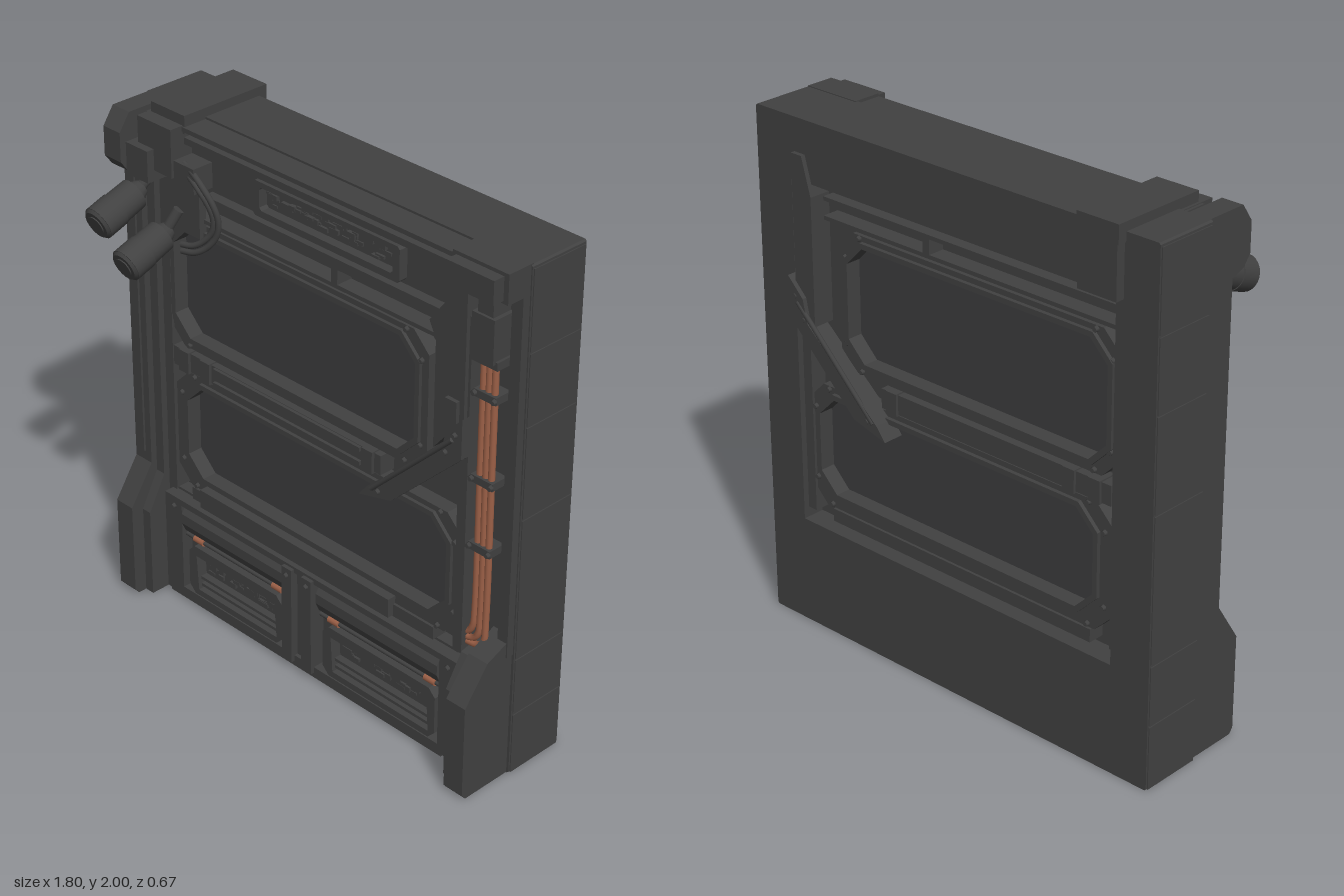
import * as THREE from 'three';

export function createModel() {
  const root = new THREE.Group();
  root.name = 'industrialDoorPanel';
  const mat = (name, color) => {
    const m = new THREE.MeshStandardMaterial({ color });
    m.name = name;
    return m;
  };
  const metal = mat('darkMetal', 0x414141);
  const glass = mat('smokedGlass', 0x3d3d3f);
  const copper = mat('copper', 0x9c6047);

  const add = (name, geo, m = metal) => {
    const mesh = new THREE.Mesh(geo, m);
    mesh.name = name;
    root.add(mesh);
    return mesh;
  };
  const box = (name, x0, x1, y0, y1, z0, z1, m) =>
    add(name, new THREE.BoxGeometry(x1 - x0, y1 - y0, z1 - z0)
      .translate((x0 + x1) / 2, (y0 + y1) / 2, (z0 + z1) / 2), m);
  const toShape = pts => new THREE.Shape(pts.map(p => new THREE.Vector2(p[0], p[1])));
  // Outline in x,y with optional hole, running from z0 to z1
  const plate = (name, pts, z0, z1, hole, m) => {
    const s = toShape(pts);
    if (hole) s.holes.push(toShape(hole));
    return add(name, new THREE.ExtrudeGeometry(s, { depth: z1 - z0, bevelEnabled: false }).translate(0, 0, z0), m);
  };
  // Outline in z,y running from x0 to x1
  const profile = (name, pts, x0, x1, m) =>
    add(name, new THREE.ExtrudeGeometry(toShape(pts), { depth: x1 - x0, bevelEnabled: false })
      .rotateY(-Math.PI / 2).translate(x1, 0, 0), m);
  // Rectangle with cut corners
  const oct = (x0, x1, y0, y1, c) => [[x0 + c, y0], [x1 - c, y0], [x1, y0 + c], [x1, y1 - c],
    [x1 - c, y1], [x0 + c, y1], [x0, y1 - c], [x0, y0 + c]];
  const rod = (name, a, b, r0, r1 = r0, seg = 20, m) => {
    const p = new THREE.Vector3(...a), q = new THREE.Vector3(...b), d = q.clone().sub(p);
    const mesh = add(name, new THREE.CylinderGeometry(r1, r0, d.length(), seg), m);
    mesh.position.copy(p).add(q).multiplyScalar(0.5);
    mesh.quaternion.setFromUnitVectors(new THREE.Vector3(0, 1, 0), d.normalize());
    return mesh;
  };
  const tube = (name, pts, r, m) => add(name, new THREE.TubeGeometry(
    new THREE.CatmullRomCurve3(pts.map(p => new THREE.Vector3(...p)), false, 'centripetal'), 48, r, 10), m);
  const bolt = (x, y, z, dir = 1) => rod('bolt', [x, y, z], [x, y, z + 0.012 * dir], 0.012, 0.009, 6);

  // Thick outer frame, open in the middle, and the door core inside it
  plate('outerFrame', oct(-0.895, 0.895, 0, 1.965, 0.006), -0.298, -0.05,
    [[-0.73, 0.42], [0.73, 0.42], [0.73, 1.74], [-0.73, 1.74]]);
  box('doorCore', -0.73, 0.73, 0.42, 1.74, -0.21, -0.035);
  // Side cladding with seams
  const seams = [0, 0.25, 0.48, 1.035, 1.385, 1.655, 1.955];
  for (let i = 0; i < seams.length - 1; i++) for (const s of [-1, 1]) {
    const x = s * 0.895;
    box('sideCladding', x - 0.004, x + 0.004, seams[i] + 0.004, seams[i + 1] - 0.004, -0.292, -0.056);
  }

  // Windows: pane, inner lip and outer surround, on both faces
  const windows = [
    { o: [-0.72, 0.54, 1.08, 1.6], p: [-0.68, 0.49, 1.13, 1.56] },
    { o: [-0.7, 0.71, 0.5, 0.98], p: [-0.63, 0.65, 0.565, 0.94] },
  ];
  for (const { o, p } of windows) {
    const rim = oct(p[0] - 0.02, p[1] + 0.02, p[2] - 0.02, p[3] + 0.02, 0.085);
    const inner = oct(...p, 0.075);
    plate('paneFront', rim, -0.034, -0.026, null, glass);
    plate('paneBack', rim, -0.22, -0.212, null, glass);
    plate('windowSurroundFront', oct(...o, 0.07), -0.035, 0.02, inner);
    plate('windowLipFront', rim, 0.02, 0.033, inner);
    plate('windowSurroundBack', oct(...o, 0.07), -0.265, -0.21, inner);
    plate('windowLipBack', rim, -0.28, -0.265, inner);
    for (const x of [o[0] + 0.1, o[0] + 0.03, o[1] - 0.1, o[1] - 0.03]) {
      const edge = Math.abs(x - o[0]) < 0.05 || Math.abs(x - o[1]) < 0.05;
      for (const y of [o[2] + (edge ? 0.1 : 0.012), o[3] - (edge ? 0.1 : 0.012)]) {
        bolt(x, y, 0.02);
        bolt(x, y, -0.265, -1);
      }
    }
  }

  // Door rails and stiles
  for (const [z0, z1] of [[-0.035, 0.03], [-0.275, -0.21]]) {
    box('middleRail', -0.7, 0.34, 0.99, 1.065, z0, z1);
    box('upperRail', -0.72, 0.6, 1.615, 1.63, z0, z1);
    box('upperRail', -0.72, 0.6, 1.685, 1.7, z0, z1);
    box('lowerRail', -0.62, 0.6, 0.45, 0.5, z0, z1);
    box('rightStile', 0.69, 0.73, 0.46, 1.75, z0, z1);
    box('leftStile', -0.74, -0.705, 0.46, 1.75, z0, z1);
    box('railDivider', 0.1, 0.13, 1.63, 1.685, z0, z1);
    for (const x of [-0.66, -0.55, 0.26]) box('railBlock', x, x + 0.05, 0.985, 1.07, z0 - 0.01, z1 + 0.012);
  }
  for (const y of [1.0, 1.055]) box('railBead', -0.48, 0.25, y - 0.008, y + 0.008, 0.03, 0.042);
  box('sillRoll', -0.55, 0.41, 0.455, 0.53, 0.02, 0.055);

  // Diagonal brace and slanted upper plate, front and back
  const brace = [[0.27, 0.9], [0.42, 0.94], [0.73, 1.24], [0.73, 1.39], [0.66, 1.32], [0.64, 1.23], [0.31, 0.95]];
  const upright = [[0.59, 1.22], [0.72, 1.38], [0.72, 1.84], [0.68, 1.84], [0.56, 1.68], [0.59, 1.62]];
  plate('braceFront', brace, 0.02, 0.062);
  plate('uprightFront', upright, -0.03, 0.045);
  plate('braceBack', brace, -0.332, -0.25);
  plate('uprightBack', [[0.62, 1.22], [0.71, 1.3], [0.71, 1.84], [0.66, 1.84], [0.62, 1.7]], -0.315, -0.23);
  rod('braceRib', [0.33, 0.95, 0.064], [0.69, 1.3, 0.064], 0.009, 0.009, 8);
  rod('braceRib', [0.33, 0.95, -0.328], [0.69, 1.3, -0.328], 0.009, 0.009, 8);
  for (const [x, y] of [[0.36, 0.95], [0.66, 1.24], [0.7, 1.32]]) {
    bolt(x, y, 0.062);
    bolt(x, y, -0.323, -1);
  }
  box('latch', 0.65, 0.7, 1.35, 1.44, 0.045, 0.06);

  // Header with a framed vent
  box('header', -0.74, 0.68, 1.72, 1.93, -0.05, 0.005);
  box('topRail', -0.78, 0.67, 1.94, 1.957, -0.05, 0.05);
  box('topRailLower', -0.7, 0.66, 1.89, 1.915, -0.05, 0.04);
  box('headerLedge', -0.5, 0.6, 1.71, 1.735, 0, 0.045);
  plate('headerVentFrame', oct(-0.26, 0.42, 1.75, 1.88, 0.01), 0.005, 0.04, oct(-0.23, 0.39, 1.775, 1.86, 0.01));
  let seed = 7;
  const rnd = () => (seed = (seed * 16807) % 2147483647) / 2147483647;
  const rubble = (x0, x1, y0, y1, z, n) => {
    for (let i = 0; i < n; i++) {
      const x = x0 + rnd() * (x1 - x0 - 0.05), y = y0 + rnd() * (y1 - y0 - 0.02);
      box('ventCore', x, x + 0.02 + rnd() * 0.03, y, y + 0.008 + rnd() * 0.012, z, z + 0.004 + rnd() * 0.012);
    }
  };
  rubble(-0.22, 0.38, 1.78, 1.855, 0.004, 45);

  // Base: recessed backing, rolls, vents and centre post
  box('baseBacking', -0.72, 0.7, 0.01, 0.45, -0.05, 0.012);
  box('baseSill', -0.72, 0.68, 0.01, 0.055, 0, 0.06);
  box('baseTopRail', -0.7, 0.68, 0.415, 0.44, 0, 0.06);
  for (const x of [-0.1, 0.0]) box('centrePost', x, x + 0.05, 0.03, 0.43, 0, 0.075);
  box('centrePostInset', -0.06, 0.01, 0.03, 0.42, 0, 0.045);
  for (const [x0, x1] of [[-0.65, -0.11], [0.06, 0.65]]) {
    profile('baseRoll', [[0, 0.3], [0.045, 0.305], [0.06, 0.34], [0.06, 0.38], [0.04, 0.412], [0, 0.415]], x0, x1);
    plate('ventFrame', oct(x0 + 0.03, x1 - 0.01, 0.055, 0.265, 0.03), 0.01, 0.055,
      [[x0 + 0.08, 0.08], [x1 - 0.04, 0.08], [x1 - 0.05, 0.225], [x0 + 0.07, 0.225]]);
    for (const y of [0.09, 0.12]) box('ventSlat', x0 + 0.07, x1 - 0.04, y, y + 0.012, 0.012, 0.04);
    rubble(x0 + 0.09, x1 - 0.05, 0.145, 0.215, 0.01, 35);
    rod('baseRod', [x0, 0.285, 0.035], [x1, 0.285, 0.035], 0.008, 0.008, 8);
    for (const x of [x0 + 0.07, x1 - 0.05]) rod('copperSleeve', [x - 0.025, 0.285, 0.035], [x + 0.025, 0.285, 0.035], 0.014, 0.014, 12, copper);
  }
  box('baseSideLeft', -0.74, -0.65, 0.02, 0.44, -0.05, 0.06);
  box('baseSideRight', 0.66, 0.75, 0.02, 0.44, -0.05, 0.06);
  bolt(-0.69, 0.4, 0.06); bolt(0.7, 0.4, 0.06); bolt(-0.075, 0.4, 0.075); bolt(0.025, 0.4, 0.075);

  // Left pillar with flared foot and chamfered head
  profile('leftPillar', [[-0.05, 0], [0.155, 0], [0.172, 0.02], [0.172, 0.385], [0.07, 0.54], [0.07, 1.73],
    [0.125, 1.75], [0.155, 1.79], [0.155, 1.9], [0.11, 1.965], [-0.05, 1.965]], -0.885, -0.8);
  profile('leftPillarStep', [[-0.05, 0], [0.12, 0], [0.12, 0.36], [0.045, 0.5], [0.045, 1.75], [-0.05, 1.75]], -0.8, -0.76);
  box('leftPillarRib', -0.76, -0.72, 0.02, 1.72, -0.05, 0.02);
  box('leftPillarBead', -0.855, -0.83, 0.58, 1.7, 0.07, 0.078);

  // Right pillar, foot, corner block and pipe channel
  profile('rightFoot', [[-0.05, 0], [0.155, 0], [0.172, 0.02], [0.172, 0.385], [0.07, 0.52], [-0.05, 0.57]], 0.8, 0.885);
  profile('rightFootStep', [[-0.05, 0], [0.11, 0], [0.11, 0.36], [0.04, 0.48], [-0.05, 0.5]], 0.74, 0.8);
  box('rightPillar', 0.845, 0.89, 0.5, 1.86, -0.05, -0.02);
  box('cornerBlock', 0.655, 0.89, 1.86, 1.968, -0.06, 0.05);
  box('cornerBlockFace', 0.67, 0.87, 1.87, 1.955, 0.05, 0.095);
  box('pipeManifold', 0.735, 0.83, 1.62, 1.78, -0.05, 0.04);
  box('pipeManifoldNeck', 0.75, 0.815, 1.78, 1.87, -0.05, 0.03);
  box('manifoldLip', 0.725, 0.84, 1.6, 1.63, -0.05, 0.03);

  // Copper pipes curving in at the foot, held by clamps
  [0.758, 0.783, 0.808].forEach((x, i) => tube('copperPipe',
    [[x, 1.61, 0], [x, 1.2, 0], [x, 0.64 - i * 0.01, 0], [x - 0.006, 0.575 - i * 0.022, 0],
      [x - 0.028, 0.54 - i * 0.016, 0], [0.69, 0.535 - i * 0.018, 0]], 0.012, copper));
  for (const y of [1.48, 1.16, 0.9]) {
    box('pipeClamp', 0.735, 0.83, y - 0.014, y + 0.014, -0.05, 0.02);
    bolt(0.74, y, 0.02); bolt(0.825, y, 0.02);
  }

  // Bracket saddling the top edge
  box('topBracket', -0.76, -0.59, 1.93, 1.998, -0.333, 0.045);
  box('topBracketBack', -0.755, -0.595, 1.74, 1.96, -0.333, -0.29);
  box('topBracketFront', -0.77, -0.6, 1.78, 1.96, -0.05, 0.1);
  box('lampMount', -0.8, -0.69, 1.74, 1.86, 0, 0.13);
  box('lampMountBlock', -0.64, -0.5, 1.75, 1.845, 0, 0.09);
  box('lampMountPlate', -0.7, -0.52, 1.56, 1.74, 0.02, 0.05);

  // Twin lamps on pivots
  for (const [x, y, z] of [[-0.745, 1.69, 0.148], [-0.645, 1.555, 0.117]]) {
    const at = t => [x, y - 0.336 * t, z + 0.942 * t];
    rod('lampBody', at(0), at(0.09), 0.058, 0.06, 24);
    rod('lampHood', at(0.09), at(0.172), 0.063, 0.063, 24);
    rod('lampRim', at(0.17), at(0.182), 0.063, 0.052, 24);
    rod('lampLens', at(0.18), at(0.186), 0.036, 0.036, 24);
    rod('lampNeck', at(-0.035), at(0), 0.03, 0.045, 16);
    rod('lampArm', at(-0.02), [x + 0.03, y + 0.09, 0.06], 0.02, 0.02, 10);
  }

  // Looping cables
  for (const r of [0.14, 0.165]) {
    const pts = [];
    for (let i = 0; i <= 8; i++) {
      const a = 1.5 - i * 0.38;
      pts.push([-0.58 + r * Math.cos(a), 1.675 + r * Math.sin(a), 0.07 + 0.015 * Math.sin(i)]);
    }
    tube('cable', pts, 0.011);
  }
  return root;
}
